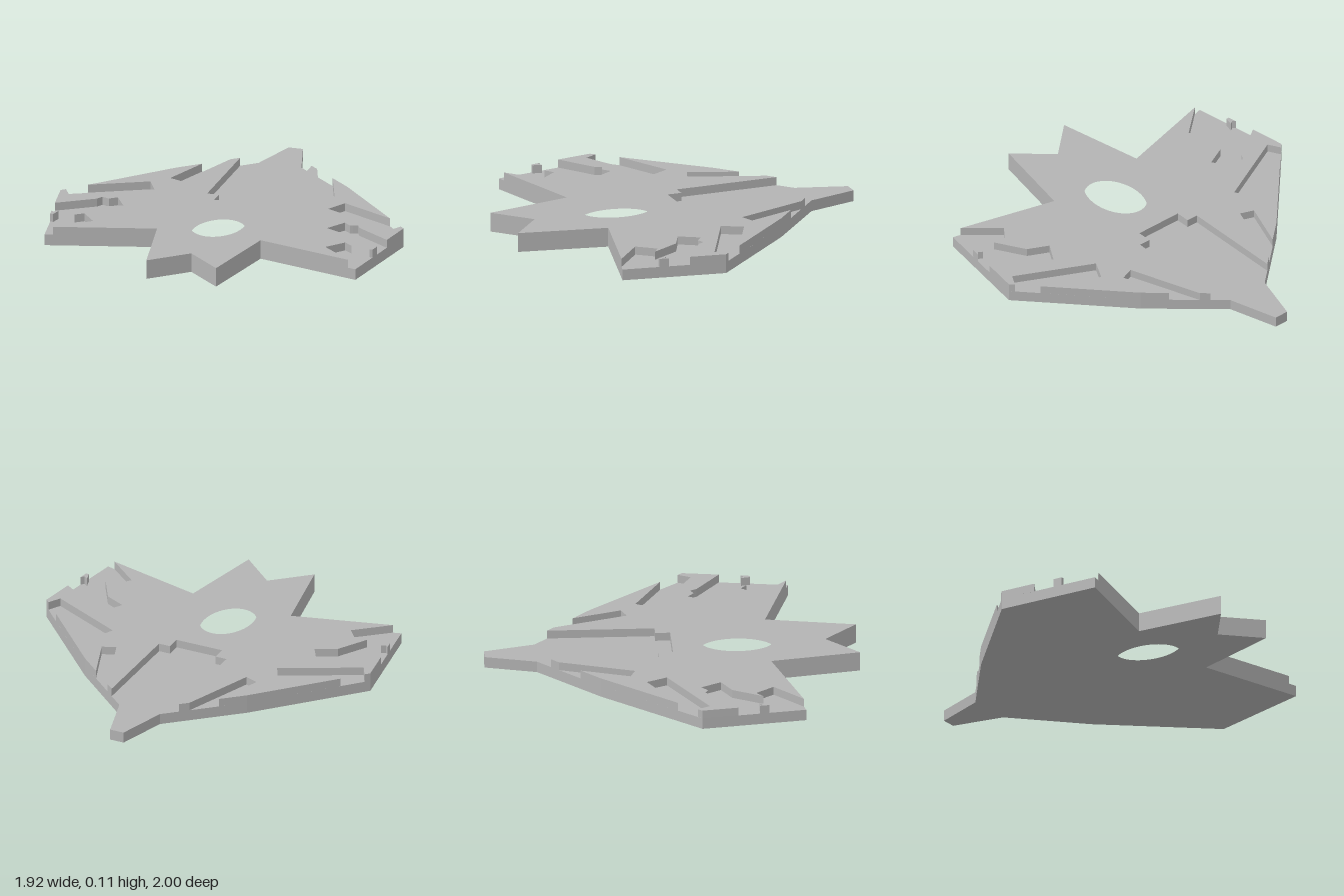
import * as THREE from 'three';

const FLOOR = 0.06; // height of the recessed areas
const TOP = 0.105; // height of the raised surface

// Right half of the full outline as [x, z], nose to tail
const OUTLINE = [
  [0.04, -1], [0.12, -0.725], [0.48, -0.405], [0.96, 0.11],
  [0.87, 0.67], [0.29, 0.515], [0.195, 0.995], [0, 0.82],
];

// Right half of the raised surface, following every recess
const RAISED = [
  // centre channel
  [0, 0], [0.135, 0], [0.135, -0.08], [0.2, -0.08], [0.2, -0.654],
  // front slit
  [0.243, -0.616], [0.386, -0.217], [0.46, -0.245], [0.365, -0.507], [0.48, -0.405],
  // side slot
  [0.845, -0.013], [0.545, -0.163], [0.487, -0.053], [0.9, 0.153], [0.937, 0.086], [0.96, 0.11],
  // jagged wing-tip recess
  [0.929, 0.305], [0.735, 0.175], [0.715, 0.14], [0.69, 0.15], [0.675, 0.155], [0.635, 0.122],
  [0.57, 0.23], [0.682, 0.285], [0.775, 0.445], [0.73, 0.41], [0.65, 0.507], [0.825, 0.658],
  // tail
  [0.29, 0.515], [0.195, 0.995], [0, 0.82],
];

// Small tooth left standing on the outer edge of the wing-tip recess
const TOOTH = [[0.91, 0.42], [0.895, 0.435], [0.873, 0.42], [0.885, 0.47], [0.902, 0.47]];

const mirror = (pts) => pts.map(([x, z]) => [-x, z]).reverse();
const symmetric = (half) => [...half, ...mirror(half.filter(([x]) => x > 0))];
const toShape = (pts) => new THREE.Shape(pts.map(([x, z]) => new THREE.Vector2(x, -z)));

// Upright slab of a plan shape between two heights
function slab(name, shape, y0, y1, material) {
  const geometry = new THREE.ExtrudeGeometry(shape, {
    depth: y1 - y0, bevelEnabled: false, curveSegments: 64,
  });
  geometry.rotateX(-Math.PI / 2).translate(0, y0, 0);
  const mesh = new THREE.Mesh(geometry, material);
  mesh.name = name;
  return mesh;
}

// Plate outline with the oval hole
function plateShape(half) {
  const shape = toShape(symmetric(half));
  shape.holes.push(new THREE.Path().absellipse(0, -0.35, 0.142, 0.198, 0, Math.PI * 2, true));
  return shape;
}

export function createModel() {
  const group = new THREE.Group();
  group.name = 'wingedPlate';
  const grey = new THREE.MeshStandardMaterial({ color: 0xb3b3b3 });
  grey.name = 'plain grey';

  group.add(
    slab('basePlate', plateShape(OUTLINE), 0, FLOOR, grey),
    slab('raisedSurface', plateShape(RAISED), FLOOR, TOP, grey),
    slab('leftTooth', toShape(TOOTH), FLOOR, TOP, grey),
    slab('rightTooth', toShape(mirror(TOOTH)), FLOOR, TOP, grey),
  );
  return group;
}
